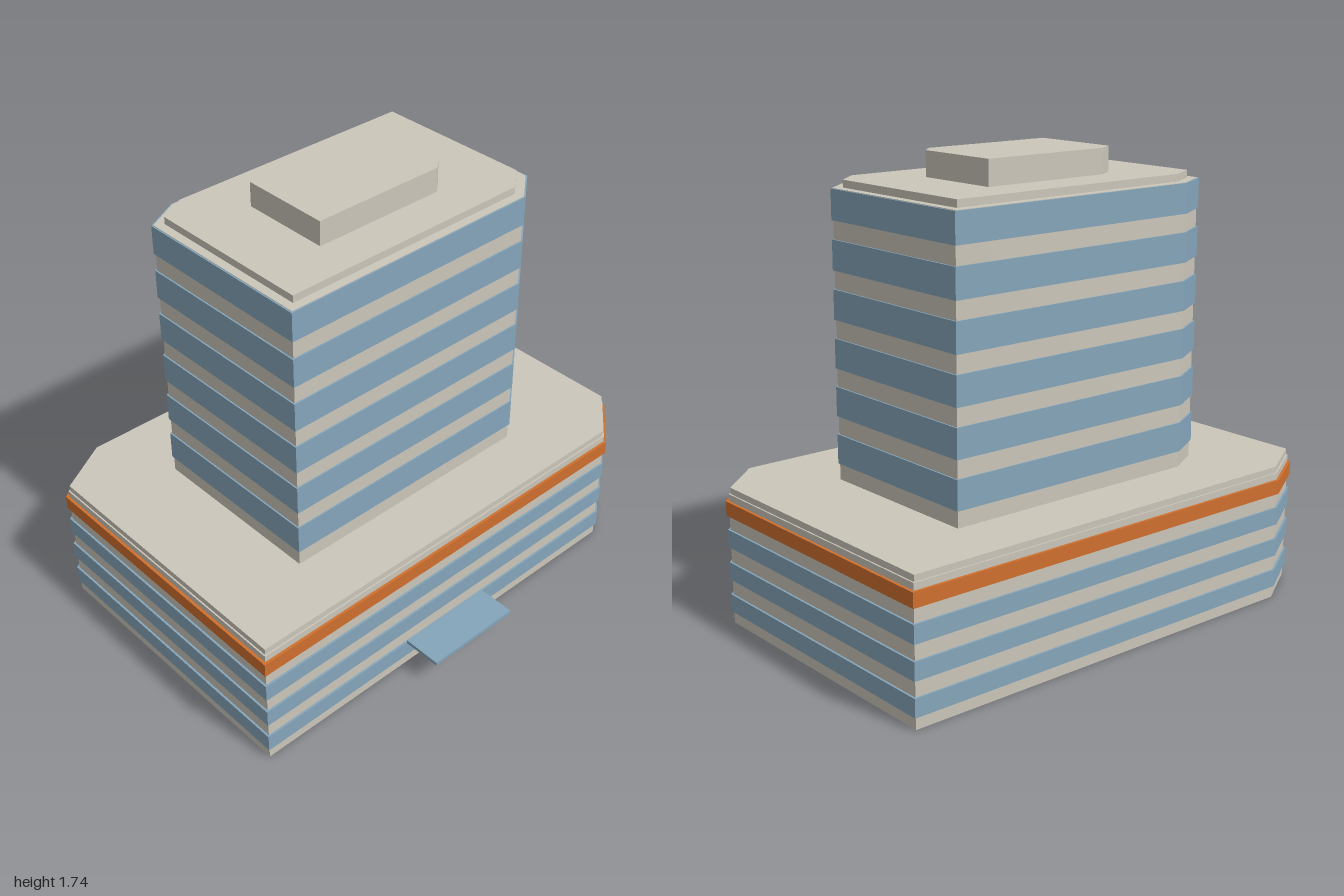
import * as THREE from 'three';

// Plan outlines as [x, z], running front-left to back
const PODIUM = [[-1, 0.55], [0.77, 0.615], [0.96, 0.458], [0.997, -0.672], [-0.727, -0.753], [-0.955, -0.63]];
const TOWER = [[-0.62, 0.316], [0.47, 0.357], [0.594, 0.26], [0.615, -0.441], [-0.45, -0.49], [-0.595, -0.42]];
const PENTHOUSE = [[-0.31, 0.122], [0.235, 0.145], [0.291, 0.098], [0.303, -0.252], [-0.23, -0.275], [-0.296, -0.24]];
const CANOPY = [[-0.332, 0.73], [0.066, 0.745], [0.073, 0.59], [-0.326, 0.575]];

// Move every edge of an outline inwards by d
function inset(outline, d) {
  const n = outline.length;
  const normal = (a, b) => {
    const dx = b[0] - a[0], dz = b[1] - a[1], l = Math.hypot(dx, dz);
    return [dz / l, -dx / l];
  };
  return outline.map((p, i) => {
    const a = normal(outline[(i + n - 1) % n], p);
    const b = normal(p, outline[(i + 1) % n]);
    const k = d / (1 + a[0] * b[0] + a[1] * b[1]);
    return [p[0] + (a[0] + b[0]) * k, p[1] + (a[1] + b[1]) * k];
  });
}

// Upright prism over an outline between two heights
function slab(name, outline, y0, y1, material) {
  const shape = new THREE.Shape(outline.map(([x, z]) => new THREE.Vector2(x, -z)));
  const geometry = new THREE.ExtrudeGeometry(shape, { depth: y1 - y0, bevelEnabled: false });
  geometry.rotateX(-Math.PI / 2).translate(0, y0, 0);
  const mesh = new THREE.Mesh(geometry, material);
  mesh.name = name;
  return mesh;
}

export function createModel() {
  const stone = new THREE.MeshStandardMaterial({ name: 'stone', color: 0xcbc6ba });
  const glass = new THREE.MeshStandardMaterial({ name: 'blueGlass', color: 0x84a5ba });
  const orange = new THREE.MeshStandardMaterial({ name: 'orange', color: 0xcf6f2e });

  // Podium: stone body, three window bands, orange fascia and parapet
  const podium = new THREE.Group();
  podium.name = 'podium';
  podium.add(slab('podiumBody', inset(PODIUM, 0.011), 0, 0.505, stone));
  for (let i = 0; i < 3; i++) {
    const y = 0.046 + i * 0.127;
    podium.add(slab('podiumWindowBand', inset(PODIUM, 0.003), y, y + 0.068, glass));
  }
  podium.add(slab('orangeFascia', PODIUM, 0.424, 0.479, orange));
  podium.add(slab('podiumParapet', inset(PODIUM, 0.017), 0.505, 0.529, stone));
  podium.add(slab('entranceCanopy', CANOPY, 0.114, 0.128, glass));

  // Tower: stone body, six window bands, roof slab and penthouse
  const tower = new THREE.Group();
  tower.name = 'tower';
  tower.add(slab('towerBody', inset(TOWER, 0.006), 0.529, 1.611, stone));
  for (let i = 0; i < 6; i++) {
    const y = 0.592 + i * 0.181;
    tower.add(slab('towerWindowBand', TOWER, y, y + 0.112, glass));
  }
  tower.add(slab('roofSlab', inset(TOWER, 0.04), 1.611, 1.639, stone));
  tower.add(slab('penthouse', PENTHOUSE, 1.639, 1.735, stone));

  const model = new THREE.Group();
  model.name = 'officeBuilding';
  model.add(podium, tower);
  return model;
}
